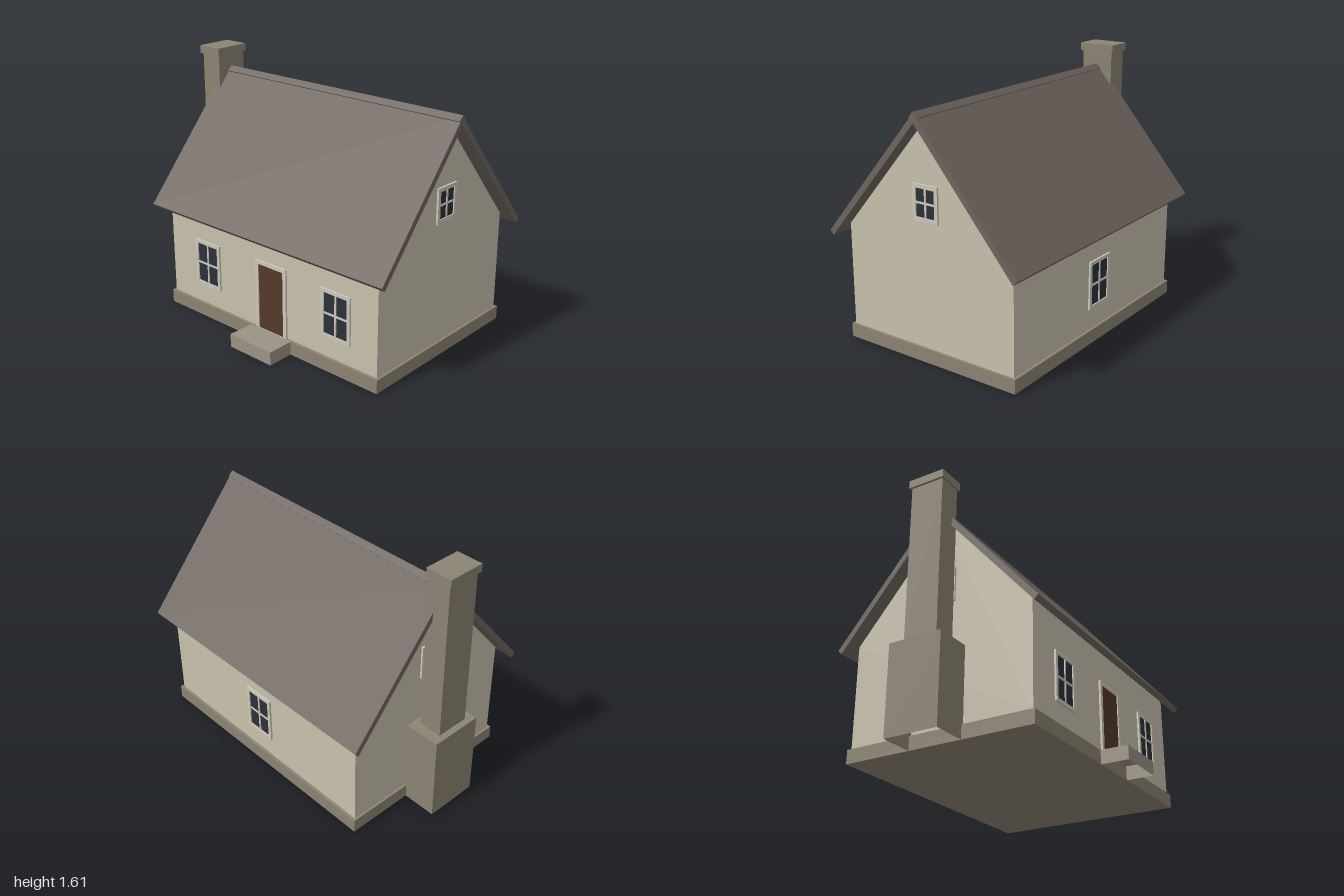
import * as THREE from 'three';

const mat = (color, side = THREE.FrontSide) => new THREE.MeshStandardMaterial({ color, side });
const WALL = mat(0xc8c1ad), STONE = mat(0x8c8473), ROOF = mat(0x6f665f), TRIM = mat(0xcfc8ba),
  GLASS = mat(0x2a3238), DOOR = mat(0x533a29),
  OPEN_STONE = mat(0x8c8473, THREE.DoubleSide), OPEN_STEP = mat(0x9c9286, THREE.DoubleSide);

const CX = 0.0725, CZ = -0.05;                 // centre of the house body
const WX = [-0.77, 0.915], WZ = [-0.64, 0.54]; // outer wall faces

function add(parent, name, geometry, material) {
  const mesh = new THREE.Mesh(geometry, material);
  mesh.name = name;
  parent.add(mesh);
  return mesh;
}

// box given by its extents; the underside can be left open
function block(parent, name, [x0, x1], [y0, y1], [z0, z1], material, open = false) {
  const g = new THREE.BoxGeometry(x1 - x0, y1 - y0, z1 - z0);
  if (open) g.setIndex([...g.index.array].filter((_, i) => i < 18 || i >= 24));
  g.translate((x0 + x1) / 2, (y0 + y1) / 2, (z0 + z1) / 2);
  return add(parent, name, g, material);
}

// profile across the house (points are z offset, y), extruded along x
function alongX(parent, name, points, x0, x1, material) {
  const shape = new THREE.Shape(points.map(([a, b]) => new THREE.Vector2(a, b)));
  const g = new THREE.ExtrudeGeometry(shape, { depth: x1 - x0, bevelEnabled: false });
  g.rotateY(Math.PI / 2).translate(x0, 0, CZ);
  return add(parent, name, g, material);
}

// rectangular surround with an opening, lying in the xy plane
function surround(w, h, gw, gh, depth, gy = 0) {
  const rect = (C, rw, rh, cy) => new C([[-1, -1], [1, -1], [1, 1], [-1, 1]]
    .map(([a, b]) => new THREE.Vector2(a * rw / 2, cy + b * rh / 2)));
  const shape = rect(THREE.Shape, w, h, 0);
  shape.holes.push(rect(THREE.Path, gw, gh, gy));
  return new THREE.ExtrudeGeometry(shape, { depth, bevelEnabled: false });
}

// four-pane window facing +z before being turned
function makeWindow(name, w, h, gw, gh) {
  const win = new THREE.Group();
  win.name = name;
  add(win, 'windowFrame', surround(w, h, gw, gh, 0.012), TRIM);
  block(win, 'windowGlass', [-gw / 2, gw / 2], [-gh / 2, gh / 2], [-0.01, 0.005], GLASS);
  block(win, 'verticalBar', [-0.006, 0.006], [-gh / 2, gh / 2], [0, 0.01], TRIM);
  block(win, 'horizontalBar', [-gw / 2, gw / 2], [-0.006, 0.006], [0, 0.01], TRIM);
  return win;
}

export function createModel() {
  const house = new THREE.Group();
  house.name = 'cottage';

  // base and walls
  block(house, 'foundation', [-0.785, 0.93], [0, 0.085], [-0.658, 0.558], STONE);
  alongX(house, 'walls',
    [[-0.59, 0.08], [0.59, 0.08], [0.59, 0.722], [0, 1.409], [-0.59, 0.722]], WX[0], WX[1], WALL);

  // roof with square-cut eaves, and a ridge cap set on edge
  alongX(house, 'roof',
    [[0.648, 0.66], [0.673, 0.686], [0, 1.47], [-0.673, 0.686], [-0.648, 0.66], [0, 1.415]],
    -0.855, 1, ROOF);
  alongX(house, 'ridgeCap', [[0, 1.417], [0.03, 1.447], [0, 1.477], [-0.03, 1.447]], -0.855, 1, ROOF);

  // chimney on the gable end
  const chimney = new THREE.Group();
  chimney.name = 'chimney';
  house.add(chimney);
  block(chimney, 'chimneyBase', [-1, -0.77], [0, 0.55], [-0.227, 0.113], OPEN_STONE, true);
  block(chimney, 'chimneyShaft', [-0.96, -0.813], [0.55, 1.56], [-0.16, 0.056], STONE);
  block(chimney, 'chimneyCap', [-0.975, -0.802], [1.555, 1.605], [-0.172, 0.069], STONE);

  // door, surround and step
  const door = new THREE.Group();
  door.name = 'frontDoor';
  door.position.set(0.112, 0.308, WZ[1]);
  add(door, 'doorFrame', surround(0.25, 0.446, 0.2, 0.422, 0.012, -0.0119), TRIM);
  block(door, 'doorPanel', [-0.1, 0.1], [-0.223, 0.199], [-0.01, 0.006], DOOR);
  house.add(door);
  block(house, 'doorStep', [-0.055, 0.278], [0, 0.085], [0.555, 0.728], OPEN_STEP, true);

  // windows: two in front, one at the back, one in each gable
  const places = [
    ['frontRightWindow', -0.436, 0.364, WZ[1], 0],
    ['frontLeftWindow', 0.617, 0.364, WZ[1], 0],
    ['backWindow', CX, 0.364, WZ[0], Math.PI],
    ['leftGableWindow', WX[1], 0.953, CZ, Math.PI / 2],
    ['rightGableWindow', WX[0], 0.953, CZ, -Math.PI / 2],
  ];
  for (const [name, x, y, z, turn] of places) {
    const size = name.includes('Gable') ? [0.178, 0.215, 0.132, 0.166] : [0.216, 0.3, 0.172, 0.256];
    const win = makeWindow(name, ...size);
    win.position.set(x, y, z);
    win.rotation.y = turn;
    house.add(win);
  }
  return house;
}
